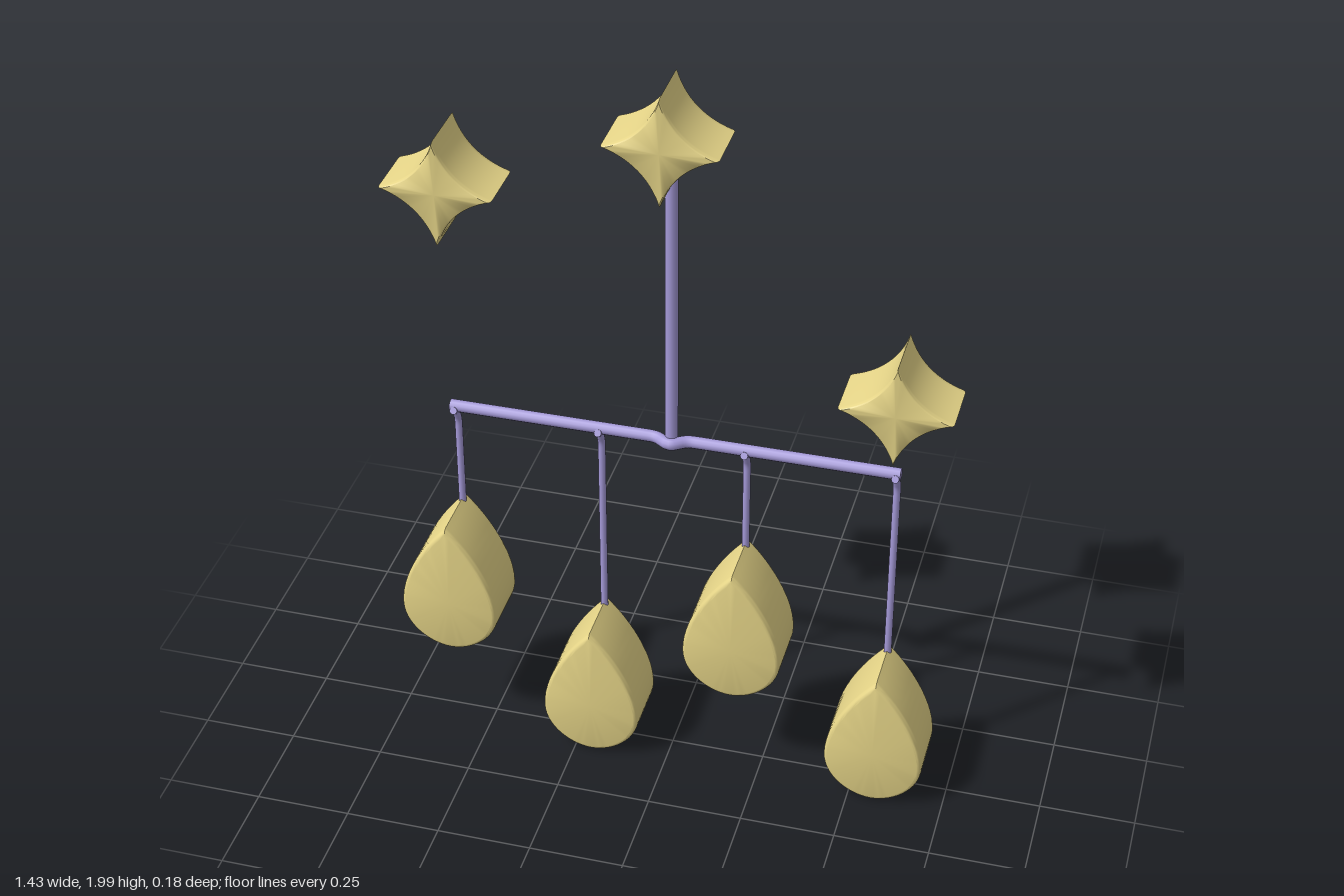
import * as THREE from 'three';
import { toCreasedNormals } from 'three/addons/utils/BufferGeometryUtils.js';

const gold = new THREE.MeshStandardMaterial({ color: 0xe6d588 });
const lilac = new THREE.MeshStandardMaterial({ color: 0xa69bda });

// Slab with soft rims: counter-clockwise outline swept through rings [z, scale], closed by fans
function slab(shape, rings, crease) {
  const outline = shape.getPoints(14);
  if (outline[0].distanceTo(outline[outline.length - 1]) < 1e-5) outline.pop();
  const n = outline.length, pos = [], idx = [];
  for (const [z, s] of rings) for (const p of outline) pos.push(p.x * s, p.y * s, z);
  const back = pos.length / 3, front = back + 1, last = (rings.length - 1) * n;
  pos.push(0, 0, rings[0][0], 0, 0, rings[rings.length - 1][0]);
  for (let i = 0; i < n; i++) {
    const j = (i + 1) % n;
    for (let k = 0; k < last; k += n) {
      idx.push(k + i, k + j, k + n + j, k + i, k + n + j, k + n + i);
    }
    idx.push(back, j, i, front, last + i, last + j);
  }
  const g = new THREE.BufferGeometry();
  g.setAttribute('position', new THREE.Float32BufferAttribute(pos, 3));
  g.setIndex(idx);
  return toCreasedNormals(g, crease);
}

// Ring list for a slab between z0 and z1 with a rounded rim
function roundedRings(z0, z1, depth, inset) {
  const rim = [0, 0.25, 0.5, 0.75, 1].map(t => {
    const a = t * Math.PI / 2;
    return [depth * (1 - Math.cos(a)), 1 - inset * (1 - Math.sin(a))];
  });
  return [...rim.map(([d, s]) => [z0 + d, s]), ...rim.reverse().map(([d, s]) => [z1 - d, s])];
}

// Four-pointed star with concave sides
function starShape(r, c) {
  const s = new THREE.Shape().moveTo(r, 0);
  s.quadraticCurveTo(c, c, 0, r);
  s.quadraticCurveTo(-c, c, -r, 0);
  s.quadraticCurveTo(-c, -c, 0, -r);
  s.quadraticCurveTo(c, -c, r, 0);
  return s;
}

// Teardrop with its point up, origin at the belly
function dropShape() {
  const s = new THREE.Shape().moveTo(0, 0.24);
  s.bezierCurveTo(-0.06, 0.18, -0.13, 0.07, -0.13, -0.025);
  s.bezierCurveTo(-0.13, -0.1, -0.06, -0.153, 0, -0.153);
  s.bezierCurveTo(0.06, -0.153, 0.13, -0.1, 0.13, -0.025);
  s.bezierCurveTo(0.13, 0.07, 0.06, 0.18, 0, 0.24);
  return s;
}

// Capped round rod along straight segments with tightly rounded bends
function rod(points, radius) {
  const v = points.map(p => new THREE.Vector3(...p));
  const path = new THREE.CurvePath();
  let from = v[0];
  for (let i = 1; i < v.length - 1; i++) {
    const a = v[i].clone().lerp(v[i - 1], 0.3 * Math.min(1, 0.06 / v[i].distanceTo(v[i - 1])));
    const b = v[i].clone().lerp(v[i + 1], 0.3 * Math.min(1, 0.06 / v[i].distanceTo(v[i + 1])));
    path.add(new THREE.LineCurve3(from, a));
    path.add(new THREE.QuadraticBezierCurve3(a, v[i], b));
    from = b;
  }
  path.add(new THREE.LineCurve3(from, v[v.length - 1]));
  const group = new THREE.Group();
  group.add(new THREE.Mesh(new THREE.TubeGeometry(path, 120, radius, 12), lilac));
  for (const t of [0, 1]) {
    const cap = new THREE.Mesh(new THREE.CircleGeometry(radius, 12), lilac);
    const dir = path.getTangent(t).multiplyScalar(t ? 1 : -1);
    cap.position.copy(path.getPoint(t));
    cap.quaternion.setFromUnitVectors(new THREE.Vector3(0, 0, 1), dir);
    group.add(cap);
  }
  return group;
}

export function createModel() {
  const model = new THREE.Group();
  const add = (object, name, x = 0, y = 0, z = 0) => {
    object.name = name;
    object.position.set(x, y, z);
    model.add(object);
  };

  // Stars
  const starGeo = slab(starShape(0.143, 0.034), roundedRings(-0.09, 0.073, 0.014, 0.06), 0.7);
  [[-0.573, 1.665], [-0.015, 1.857], [0.57, 1.223]].forEach(([x, y], i) =>
    add(new THREE.Mesh(starGeo, gold), `star${i + 1}`, x, y));

  // Hanging post and crossbar, which kinks forward round the post
  add(rod([[-0.015, 1.76, -0.042], [-0.015, 0.975, -0.042]], 0.017), 'post');
  add(rod([[-0.603, 0.975, -0.046], [-0.055, 0.975, -0.046], [-0.015, 0.975, -0.018],
    [0.025, 0.975, -0.046], [0.573, 0.975, -0.046]], 0.016), 'crossbar');

  // Drops on bent wires
  const dropGeo = slab(dropShape(), roundedRings(-0.09, 0.093, 0.016, 0.08), 0.7);
  [[-0.59, 0.67], [-0.205, 0.4], [0.177, 0.67], [0.562, 0.4]].forEach(([x, top], i) => {
    add(rod([[x, 0.972, -0.025], [x, 0.962, -0.045], [x, 0.925, -0.061],
      [x, top - 0.03, -0.061]], 0.01), `wire${i + 1}`);
    add(new THREE.Mesh(dropGeo, gold), `drop${i + 1}`, x, top - 0.24 + 0.002);
  });
  return model;
}
